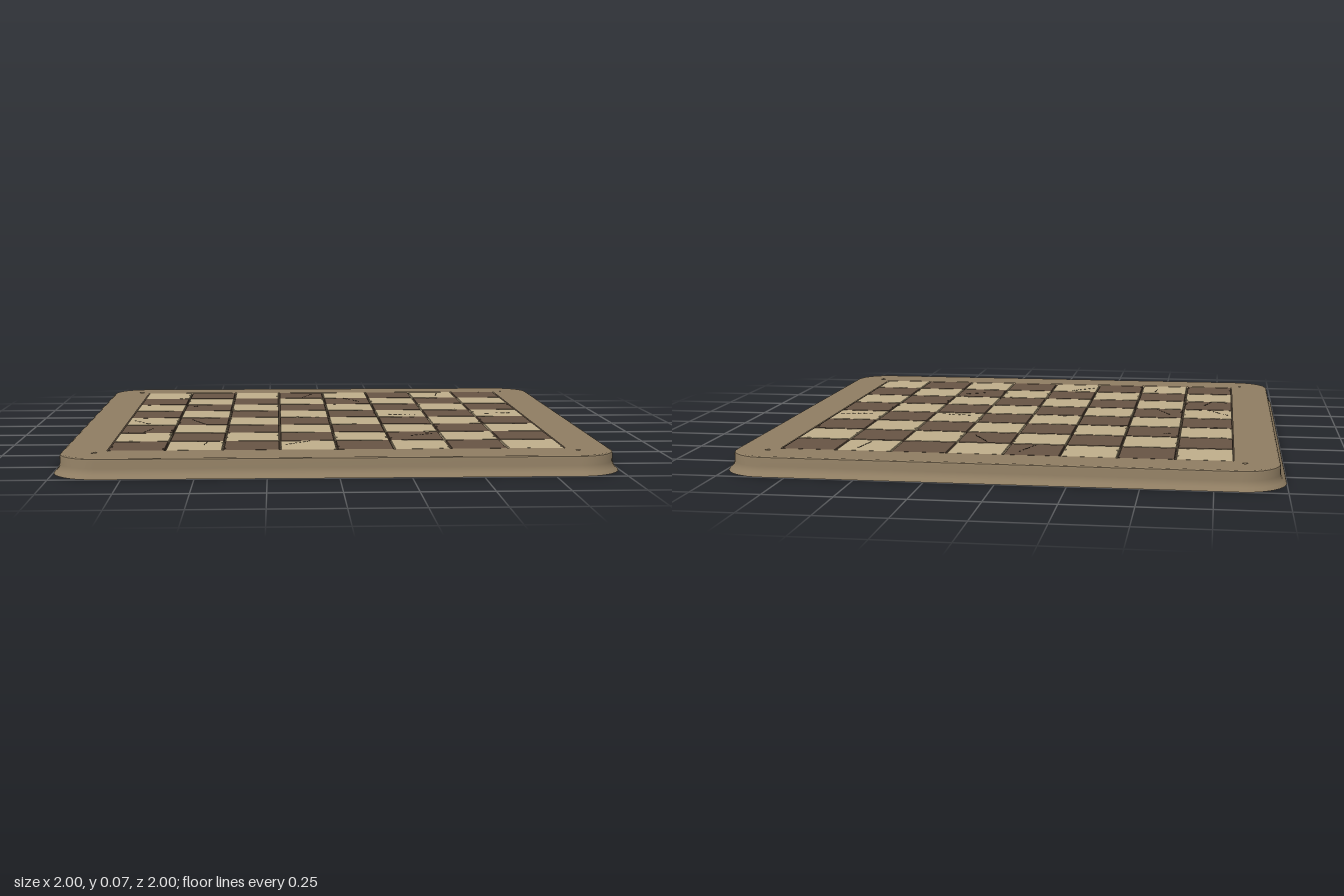
import * as THREE from 'three';
import { toCreasedNormals } from 'three/addons/utils/BufferGeometryUtils.js';

const mat = (color) => new THREE.MeshStandardMaterial({ color, side: THREE.DoubleSide });
const TOP = 0.069, CELL = 0.2045, HALF = 4 * CELL, Z0 = -0.006, RADIUS = 0.16;

let seed = 7;
const rand = () => (seed = (seed * 16807) % 2147483647) / 2147483647;

function add(parent, name, geometry, material, x = 0, y = 0, z = 0) {
  const mesh = new THREE.Mesh(geometry, material);
  mesh.name = name;
  mesh.position.set(x, y, z);
  parent.add(mesh);
  return mesh;
}

// Rounded square inset by d, counter-clockwise, as Vector2 points
function outline(d, steps = 10) {
  const r = Math.max(RADIUS - d, 0), c = 1 - d - r, pts = [];
  for (let q = 0; q < 4; q++) {
    const mid = (q + 0.5) * Math.PI / 2;
    const cx = Math.sign(Math.cos(mid)) * c, cy = Math.sign(Math.sin(mid)) * c;
    for (let k = 0; k <= steps; k++) {
      const a = (q + k / steps) * Math.PI / 2;
      pts.push(new THREE.Vector2(cx + r * Math.cos(a), cy + r * Math.sin(a)));
    }
  }
  return pts;
}

// Sweeps a profile of [inset, height] pairs round the rounded square
function sweep(profile) {
  const pos = [], index = [];
  let n = 0;
  for (const [d, y] of profile) {
    const ring = outline(d);
    n = ring.length;
    for (const p of ring) pos.push(p.x, y, -p.y);
  }
  for (let i = 0; i < profile.length - 1; i++) {
    for (let j = 0; j < n; j++) {
      const a = i * n + j, b = i * n + (j + 1) % n;
      index.push(a, b, b + n, a, b + n, a + n);
    }
  }
  const g = new THREE.BufferGeometry();
  g.setAttribute('position', new THREE.Float32BufferAttribute(pos, 3));
  g.setIndex(index);
  return toCreasedNormals(g, 0.7);
}

// Square outline with small chips bitten out of some edges
function tileGeometry() {
  const h = CELL / 2 - 0.004, shape = new THREE.Shape();
  shape.moveTo(-h, -h);
  for (let e = 0; e < 4; e++) {
    const put = (u, v) => {
      const a = e * Math.PI / 2, c = Math.cos(a), s = Math.sin(a);
      shape.lineTo(u * c - v * s, u * s + v * c);
    };
    if (rand() < 0.28) {
      const at = (rand() - 0.5) * 0.15, w = 0.006 + rand() * 0.005;
      put(at - w, -h);
      put(at - w * 0.6, -h + w * 0.7);
      put(at + w * 0.5, -h + w * 0.8);
      put(at + w, -h);
    }
    if (e < 3) put(h, -h);
  }
  const g = new THREE.ExtrudeGeometry(shape, {
    depth: 0.008, bevelEnabled: true, bevelThickness: 0.002, bevelSize: 0.002,
    bevelOffset: -0.0005, bevelSegments: 1,
  });
  return g.rotateX(-Math.PI / 2);
}

export function createModel() {
  const model = new THREE.Group();
  model.name = 'checkeredBoard';
  const wood = mat(0x8f7d62), light = mat(0xbfae8a), dark = mat(0x675444), groove = mat(0x43382c);

  // Frame: hollow underside, base lip, coved outer side and softened top edge
  const frame = new THREE.Group();
  frame.name = 'frame';
  model.add(frame);
  add(frame, 'frameMoulding', sweep([
    [0.185, 0.014], [0.165, 0.024], [0.14, 0.045], [0.1, 0.056], [0.07, 0.052], [0.045, 0.038],
    [0.032, 0.018], [0.02, 0.002], [0.012, 0], [0, 0], [0.003, 0.004], [0.012, 0.012],
    [0.018, 0.021], [0.022, 0.034], [0.022, 0.06], [0.024, 0.066], [0.03, TOP],
  ]), wood);

  // Flat top of the frame, open for the board and four corner dents
  const top = new THREE.Shape(outline(0.03));
  const hole = (pts) => top.holes.push(new THREE.Path(pts.map(([x, y]) => new THREE.Vector2(x, y))));
  hole([[-HALF, -HALF - Z0], [-HALF, HALF - Z0], [HALF, HALF - Z0], [HALF, -HALF - Z0]]);
  for (const sx of [-1, 1]) {
    for (const sz of [-1, 1]) {
      const x = sx * 0.855, z = sz * 0.855, tri = [], r = 0.015;
      for (let k = 0; k < 3; k++) {
        const a = -k * 2 * Math.PI / 3 + sx * 0.5;
        tri.push([x + r * Math.cos(a), -z + r * Math.sin(a)]);
      }
      hole(tri);
      const pos = [];
      tri.forEach(([px, py], k) => {
        const [qx, qy] = tri[(k + 1) % 3];
        pos.push(px, TOP, -py, qx, TOP, -qy, x, TOP - 0.012, z);
      });
      const g = new THREE.BufferGeometry();
      g.setAttribute('position', new THREE.Float32BufferAttribute(pos, 3));
      g.computeVertexNormals();
      add(frame, 'cornerDent', g, wood);
    }
  }
  add(frame, 'frameTop', new THREE.ShapeGeometry(top).rotateX(-Math.PI / 2), wood, 0, TOP, 0);

  // Bottom panel and the dark bed seen in the grooves
  add(model, 'bottomPanel', new THREE.BoxGeometry(1.635, 0.042, 1.635), wood, 0, 0.035, 0);
  add(model, 'grooveBed', new THREE.BoxGeometry(1.66, 0.004, 1.66), groove, 0, 0.058, Z0);

  // Eight by eight tiles
  const tiles = new THREE.Group();
  tiles.name = 'tiles';
  model.add(tiles);
  for (let row = 0; row < 8; row++) {
    for (let col = 0; col < 8; col++) {
      const isLight = (row + col) % 2 === 0;
      add(tiles, isLight ? 'lightTile' : 'darkTile', tileGeometry(), isLight ? light : dark,
        (col - 3.5) * CELL, TOP - 0.0105, (row - 3.5) * CELL + Z0);
    }
  }

  // Fine cracks, each a broken line from one point to another
  const cracks = [
    [-0.10, -0.63, -0.05, -0.77], [0.09, -0.61, 0.16, -0.48], [0.54, -0.78, 0.52, -0.66],
    [0.66, -0.08, 0.80, -0.10], [0.25, -0.07, 0.38, -0.05], [-0.80, 0.07, -0.72, 0.18],
    [-0.56, 0.06, -0.50, 0.19], [-0.70, 0.30, -0.73, 0.40], [0.29, 0.51, 0.38, 0.46],
    [-0.19, 0.71, -0.09, 0.62], [-0.47, 0.63, -0.48, 0.70], [-0.58, -0.35, -0.54, -0.36],
  ];
  for (const [x1, z1, x2, z2] of cracks) {
    const angle = Math.atan2(z1 - z2, x2 - x1), length = Math.hypot(x2 - x1, z2 - z1);
    for (let k = 0; k < 6; k++) {
      const t = (k + 0.5) / 6;
      const piece = add(model, 'crack', new THREE.BoxGeometry(length / 9, 0.001, 0.003), groove,
        x1 + (x2 - x1) * t, TOP + 0.0013, z1 + (z2 - z1) * t);
      piece.rotation.y = angle + (rand() - 0.5) * 0.7;
    }
  }
  return model;
}
